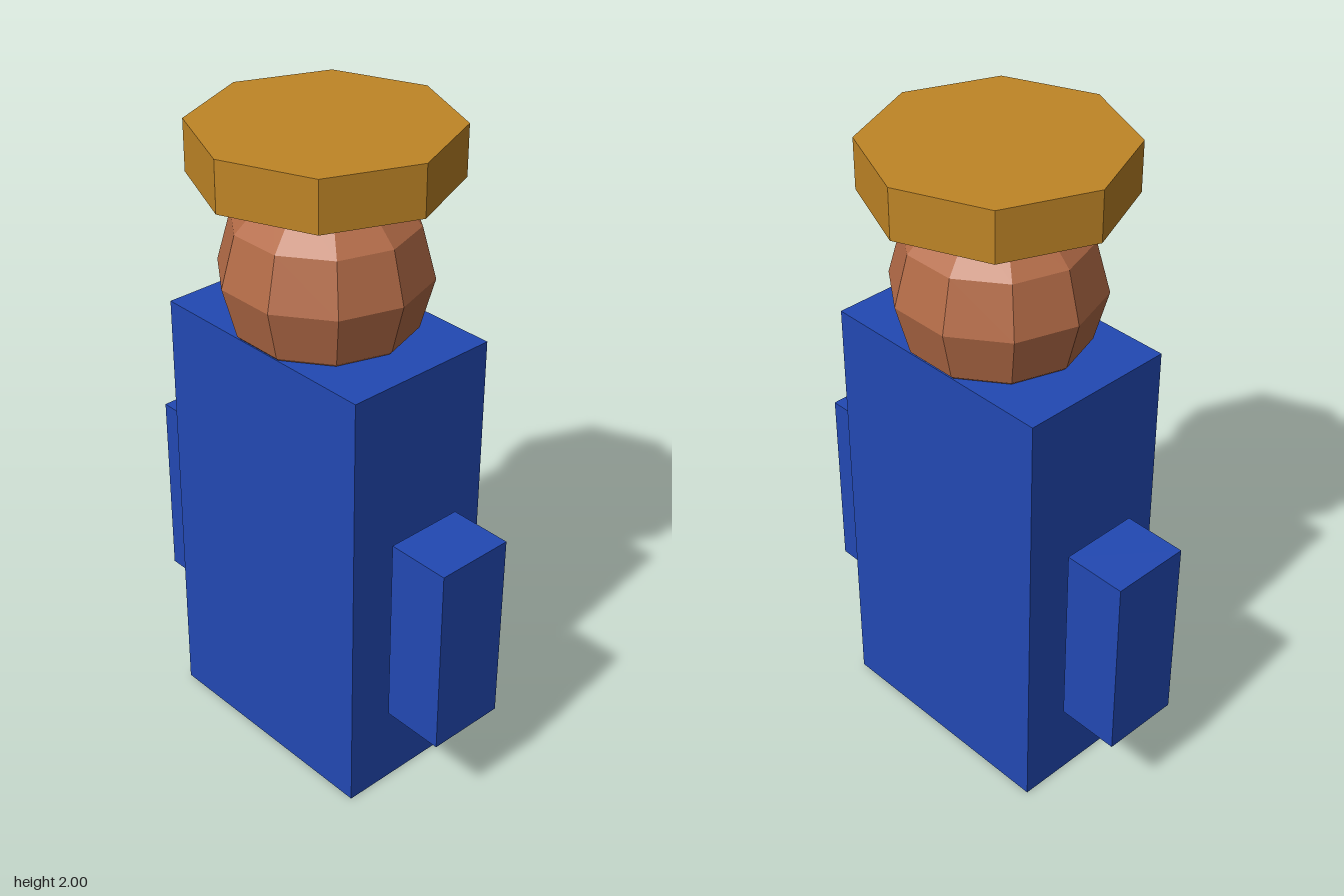
import * as THREE from 'three';

const material = (color) => new THREE.MeshStandardMaterial({ color, flatShading: true });

export function createModel() {
  const model = new THREE.Group();
  model.name = 'figure';
  const blue = material(0x2249b3);
  const skin = material(0xb36b47);
  const ochre = material(0xbf8526);

  const add = (name, geometry, mat, x, y) => {
    const mesh = new THREE.Mesh(geometry, mat);
    mesh.name = name;
    mesh.position.set(x, y, 0);
    model.add(mesh);
  };

  // Block body standing on the ground
  add('body', new THREE.BoxGeometry(0.78, 1.4, 0.5), blue, 0, 0.7);

  // Arms float just clear of the body on either side
  for (const [name, side] of [['leftArm', 1], ['rightArm', -1]]) {
    add(name, new THREE.BoxGeometry(0.2, 0.615, 0.25), blue, side * 0.515, 0.592);
  }

  // Faceted head, sunk into the body and the hat
  add('head', new THREE.SphereGeometry(0.31, 10, 6), skin, 0, 1.565);

  // Flat eight-sided hat
  add('hat', new THREE.CylinderGeometry(0.38, 0.38, 0.152, 8), ochre, 0, 1.924);

  return model;
}
